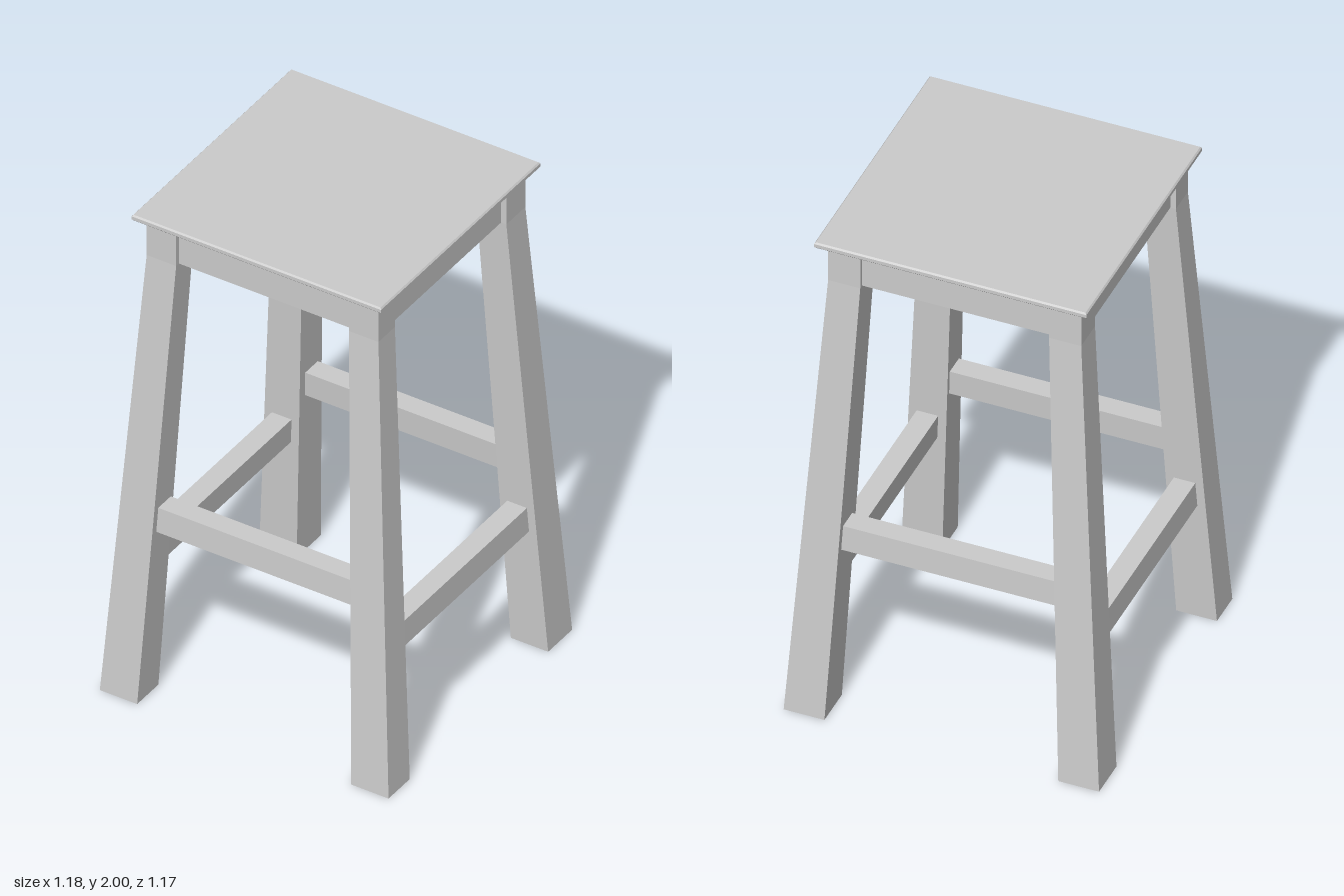
import * as THREE from 'three';

const material = new THREE.MeshStandardMaterial({ color: 0xcccccc, flatShading: true });

// Solid through stacked rectangles, each [y, x0, x1, z0, z1], bottom to top
function loft(name, rings) {
  const corners = rings.map(([y, x0, x1, z0, z1]) => [[x0, y, z1], [x1, y, z1], [x1, y, z0], [x0, y, z0]]);
  const points = [];
  const quad = (a, b, c, d) => points.push(...a, ...b, ...c, ...a, ...c, ...d);
  for (let i = 0; i < corners.length - 1; i++) {
    const lo = corners[i], hi = corners[i + 1];
    for (let k = 0; k < 4; k++) {
      const n = (k + 1) % 4;
      quad(lo[k], lo[n], hi[n], hi[k]);
    }
  }
  const [a, b, c, d] = corners[0];
  quad(d, c, b, a);
  quad(...corners[corners.length - 1]);
  const geometry = new THREE.BufferGeometry();
  geometry.setAttribute('position', new THREE.Float32BufferAttribute(points, 3));
  geometry.computeVertexNormals();
  const mesh = new THREE.Mesh(geometry, material);
  mesh.name = name;
  return mesh;
}

const SEAT_BOTTOM = 1.975, KNEE = 1.82;

// Distance of the leg's centre line from the middle at height y
const legCentre = (y) => 0.411 + 0.102 * (1 - Math.min(y, KNEE) / KNEE);

// Rail between two legs, leaning with them; dir is 'x' or 'z', side is +1 or -1
function rail(name, dir, side, y0, y1, halfLength) {
  const ring = (y) => {
    const c = side * legCentre(y), t = 0.04;
    return dir === 'x'
      ? [y, -halfLength, halfLength, c - t, c + t]
      : [y, c - t, c + t, -halfLength, halfLength];
  };
  return loft(name, [ring(y0), ring(y1)]);
}

export function createModel() {
  const model = new THREE.Group();
  model.name = 'stool';

  // Seat board with slightly eased edges
  const seatRing = (y, r) => [y, -r, r, -r, r];
  model.add(loft('seat', [
    seatRing(SEAT_BOTTOM, 0.502), seatRing(1.981, 0.508),
    seatRing(1.994, 0.508), seatRing(2, 0.503),
  ]));

  // Legs: upright beside the apron, then splayed and widening to the foot
  for (const sx of [-1, 1]) {
    for (const sz of [-1, 1]) {
      const front = sz > 0;
      const ring = (y, xIn, xOut, zIn, zOut) => {
        const x = [sx * xIn, sx * xOut].sort((a, b) => a - b);
        const z = [sz * zIn, sz * zOut].sort((a, b) => a - b);
        return [y, ...x, ...z];
      };
      const zTop = front ? 0.363 : 0.347, zFoot = front ? 0.45 : 0.432;
      model.add(loft((front ? 'front' : 'back') + (sx > 0 ? 'Left' : 'Right') + 'Leg', [
        ring(0, 0.436, 0.588, zFoot, 0.585),
        ring(KNEE, 0.352, 0.472, zTop, 0.468),
        ring(SEAT_BOTTOM, 0.352, 0.472, zTop, 0.468),
      ]));
    }
  }

  // Aprons under the seat and stretchers lower down
  for (const s of [-1, 1]) {
    const end = s > 0 ? 'front' : 'back', flank = s > 0 ? 'left' : 'right';
    model.add(
      rail(end + 'Apron', 'x', s, KNEE, SEAT_BOTTOM, 0.37),
      rail(flank + 'Apron', 'z', s, KNEE, SEAT_BOTTOM, 0.37),
      rail(end + 'Stretcher', 'x', s, 0.7, 0.8, 0.41),
      rail(flank + 'Stretcher', 'z', s, 0.5, 0.6, 0.43),
    );
  }
  return model;
}
